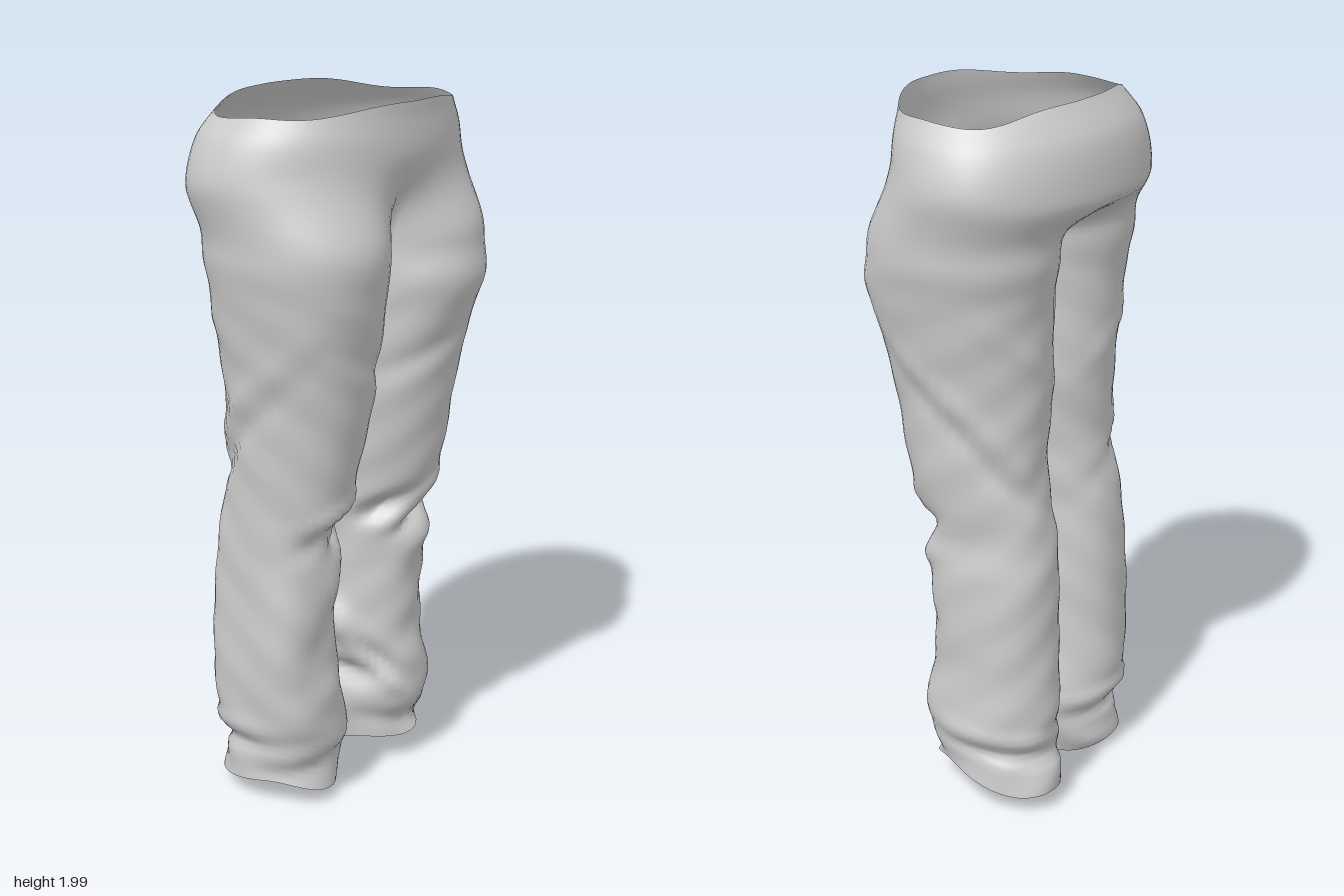
import * as THREE from 'three';
import { mergeVertices } from 'three/addons/utils/BufferGeometryUtils.js';

const CROTCH = 1.6, OUTER = 38, INNER = 10, COLS = OUTER + INNER;
const HIP_ROWS = 22, LEG_ROWS = 84;
const GAP = 0.429; // half angle of the inner thigh that meets the other leg

// hip sections: y, half width, back z, front z
const hips = [
  [2.0, 0.345, -0.235, 0.274], [1.96, 0.37, -0.262, 0.272], [1.9, 0.412, -0.3, 0.274],
  [1.8, 0.442, -0.32, 0.272], [1.7, 0.438, -0.318, 0.278], [1.6, 0.425, -0.28, 0.29],
];
// leg sections: y, inner x, outer x, back z, front z (mirrored for the right leg)
const leftLeg = [
  [1.6, -0.02, 0.42, -0.235, 0.302], [1.5, -0.015, 0.4, -0.216, 0.318], [1.4, -0.015, 0.382, -0.206, 0.288],
  [1.2, -0.008, 0.345, -0.2, 0.245], [1.0, 0.015, 0.335, -0.19, 0.207], [0.9, 0.025, 0.325, -0.208, 0.182],
  [0.8, 0.03, 0.312, -0.223, 0.15], [0.7, 0.04, 0.325, -0.235, 0.14], [0.5, 0.035, 0.328, -0.236, 0.13],
  [0.4, 0.04, 0.325, -0.24, 0.125], [0.28, 0.04, 0.335, -0.245, 0.145], [0.2, 0.04, 0.335, -0.23, 0.14],
  [0.13, 0.05, 0.325, -0.255, 0.115], [0.05, 0.07, 0.335, -0.265, 0.125], [0, 0.08, 0.33, -0.25, 0.12],
];
const rightLeg = [
  [1.6, -0.02, 0.42, -0.235, 0.302], [1.5, -0.01, 0.405, -0.216, 0.288], [1.4, -0.005, 0.39, -0.206, 0.27],
  [1.2, 0, 0.355, -0.195, 0.235], [1.0, 0.028, 0.34, -0.185, 0.195], [0.9, 0.035, 0.335, -0.2, 0.175],
  [0.8, 0.045, 0.335, -0.215, 0.145], [0.6, 0.04, 0.335, -0.23, 0.135], [0.4, 0.035, 0.34, -0.235, 0.125],
  [0.28, 0.02, 0.336, -0.24, 0.135], [0.18, 0.005, 0.325, -0.225, 0.135], [0.1, 0.025, 0.32, -0.22, 0.11],
  [0.04, 0.045, 0.322, -0.23, 0.12], [0, 0.06, 0.315, -0.21, 0.11],
];
// cloth folds: y, angle, slope, height, spread, depth (angle 0 outside, PI/2 front, PI inside)
const sharedFolds = [
  [1.3, 1.9, -0.08, 0.04, 0.8, -0.01], [1.17, -0.4, 0.2, 0.035, 0.9, 0.013],
  [1.08, -0.4, 0.2, 0.03, 0.9, -0.012], [1.32, -1.4, 0.16, 0.03, 0.7, 0.008],
  [0.92, -1.5, 0.1, 0.04, 0.8, -0.01], [0.215, -1.2, 0.02, 0.022, 1.4, 0.016],
  [0.165, -0.9, 0.02, 0.02, 1.5, -0.022], [0.35, 1.6, 0.08, 0.05, 0.8, 0.01],
  [0.13, 1.5, 0.03, 0.025, 1.2, -0.015],
];
const leftFolds = [
  [0.86, 1.5, -0.09, 0.028, 0.6, 0.015], [0.79, 1.3, -0.07, 0.025, 0.6, -0.045],
  [0.82, 2.2, -0.05, 0.035, 0.5, -0.05], [0.72, 1.1, -0.05, 0.03, 0.6, 0.015],
  [0.45, 3.0, 0.1, 0.05, 0.45, 0.05], [0.29, 3.1, 0, 0.03, 0.6, -0.045],
  [0.33, 2.2, 0.16, 0.03, 0.7, -0.025], [0.27, 2.0, 0.12, 0.025, 0.6, 0.02],
  [0.56, 1.2, 0.1, 0.05, 0.6, -0.01],
];
const rightFolds = [
  [0.89, 1.6, 0.05, 0.025, 0.7, 0.015], [0.83, 1.5, 0.08, 0.025, 0.6, -0.02],
  [0.82, 2.2, 0.06, 0.04, 0.5, -0.06], [0.5, 0.75, 0, 0.27, 0.5, 0.032],
  [0.5, -0.8, 0, 0.3, 0.5, 0.014], [0.55, 2.3, 0, 0.25, 0.5, -0.014],
  [0.55, 1.8, 0.12, 0.06, 0.7, -0.01], [0.7, 2.0, 0.1, 0.05, 0.6, 0.01],
];

// smooth lookup in a section table ordered from top to bottom
function section(table, y) {
  let i = 0;
  while (i < table.length - 2 && y < table[i + 1][0]) i++;
  const at = (k) => table[THREE.MathUtils.clamp(k, 0, table.length - 1)];
  const [p, a, b, q] = [at(i - 1), at(i), at(i + 1), at(i + 2)];
  const t = THREE.MathUtils.clamp((a[0] - y) / (a[0] - b[0]), 0, 1), h = a[0] - b[0];
  return a.slice(1).map((v, k) => {
    const m0 = p === a ? 0 : (b[k + 1] - p[k + 1]) / (p[0] - b[0]) * h;
    const m1 = q === b ? 0 : (q[k + 1] - v) / (a[0] - q[0]) * h;
    const t2 = t * t, t3 = t2 * t;
    return (2 * t3 - 3 * t2 + 1) * v + (t3 - 2 * t2 + t) * m0 + (3 * t2 - 2 * t3) * b[k + 1] + (t3 - t2) * m1;
  });
}

function foldDepth(folds, y, a) {
  let sum = 0;
  for (const [fy, fa, slope, height, spread, depth] of folds) {
    const d = Math.atan2(Math.sin(a - fa), Math.cos(a - fa));
    sum += depth * Math.exp(-(((y - fy - slope * d) / height) ** 2) - (d / spread) ** 2);
  }
  return sum;
}

const round = (v, power = 0.93) => Math.sign(v) * Math.abs(v) ** power;

// angle of a column: outer columns run front to back, inner ones return to the front
function columnAngle(c) {
  return c <= OUTER
    ? Math.PI - GAP - (c / OUTER) * 2 * (Math.PI - GAP)
    : -(Math.PI - GAP) - ((c - OUTER) / INNER) * 2 * GAP;
}

function legPoint(side, y, a, minX) {
  const [x0, x1, zb, zf] = section(side.table, y);
  const fade = THREE.MathUtils.smoothstep(CROTCH - y, 0, 0.15);
  const d = fade * (foldDepth(side.folds, y, a) + 0.003 * Math.sin(a * 5 + y * 23) * Math.sin(y * 17));
  const x = (x0 + x1) / 2 + ((x1 - x0) / 2 + d) * round(Math.cos(a), 1 - 0.07 * fade);
  const z = (zf + zb) / 2 + ((zf - zb) / 2 + d) * round(Math.sin(a));
  return [Math.max(minX, x), z];
}

// one half of the trousers: half the hips plus a whole leg
function addHalf(side, positions, indices) {
  const { sign } = side;
  const quad = (a, b, c, d) => (sign > 0
    ? indices.push(a, b, d, b, c, d) : indices.push(a, d, b, b, d, c));
  let start = positions.length / 3;

  // hips, blending from an oval waist into the two thighs, higher in front than under the seat
  for (let r = 0; r <= HIP_ROWS; r++) {
    for (let c = 0; c <= OUTER; c++) {
      const a = Math.PI / 2 - (c / OUTER) * Math.PI;
      const rim = 1.978 - 0.018 * Math.cos(2 * a) + 0.008 * Math.sin(a * 5 + 0.8) * Math.cos(a);
      const y = rim + (CROTCH - rim) * r / HIP_ROWS;
      const [rx, zb, zf] = section(hips, y);
      const k = 1 - THREE.MathUtils.smoothstep(y, CROTCH, 1.81 + 0.06 * Math.sin(a));
      const [lx, lz] = legPoint(side, CROTCH, columnAngle(c), 0);
      const hx = rx * Math.abs(Math.cos(a)) ** 0.95;
      const hz = (zf + zb) / 2 + (zf - zb) / 2 * round(Math.sin(a), a > 0 ? 1.08 : 0.88);
      const centre = c === 0 || c === OUTER;
      positions.push(centre ? 0 : sign * (hx + (lx - hx) * k), y, hz + (lz - hz) * k);
      if (r && c) {
        const n = start + r * (OUTER + 1) + c;
        quad(n - OUTER - 2, n - 1, n, n - OUTER - 1);
      }
    }
  }

  // leg, closed all round and open at the hem
  start = positions.length / 3;
  for (let r = 0; r <= LEG_ROWS; r++) {
    for (let c = 0; c < COLS; c++) {
      const a = columnAngle(c);
      const hem = side.hem(a);
      const y = CROTCH + (hem - CROTCH) * r / LEG_ROWS;
      let [x, z] = legPoint(side, y, a, r ? 0.003 : 0);
      if (r === 0 && (c === 0 || c >= OUTER)) x = 0;
      positions.push(sign * x, y, z);
      if (r) {
        const n = start + r * COLS, next = (c + 1) % COLS;
        quad(n - COLS + c, n + c, n + next, n - COLS + next);
      }
    }
  }
}

export function createModel() {
  const positions = [], indices = [];
  addHalf({
    sign: 1, table: leftLeg, folds: [...sharedFolds, ...leftFolds],
    hem: (a) => 0.07 + 0.025 * Math.sin(a) + 0.015 * Math.cos(a) + 0.012 * Math.sin(3 * a),
  }, positions, indices);
  addHalf({
    sign: -1, table: rightLeg, folds: [...sharedFolds, ...rightFolds],
    hem: (a) => 0.04 + 0.01 * Math.sin(a) + 0.028 * Math.cos(a) + 0.008 * Math.sin(3 * a),
  }, positions, indices);

  let geometry = new THREE.BufferGeometry();
  geometry.setAttribute('position', new THREE.Float32BufferAttribute(positions, 3));
  geometry.setIndex(indices);
  geometry = mergeVertices(geometry, 1e-4);
  geometry.computeVertexNormals();

  const trousers = new THREE.Mesh(geometry, new THREE.MeshStandardMaterial({
    color: 0xcccccc, side: THREE.DoubleSide,
  }));
  trousers.name = 'trousers';
  const group = new THREE.Group();
  group.name = 'trousersModel';
  group.add(trousers);
  return group;
}
